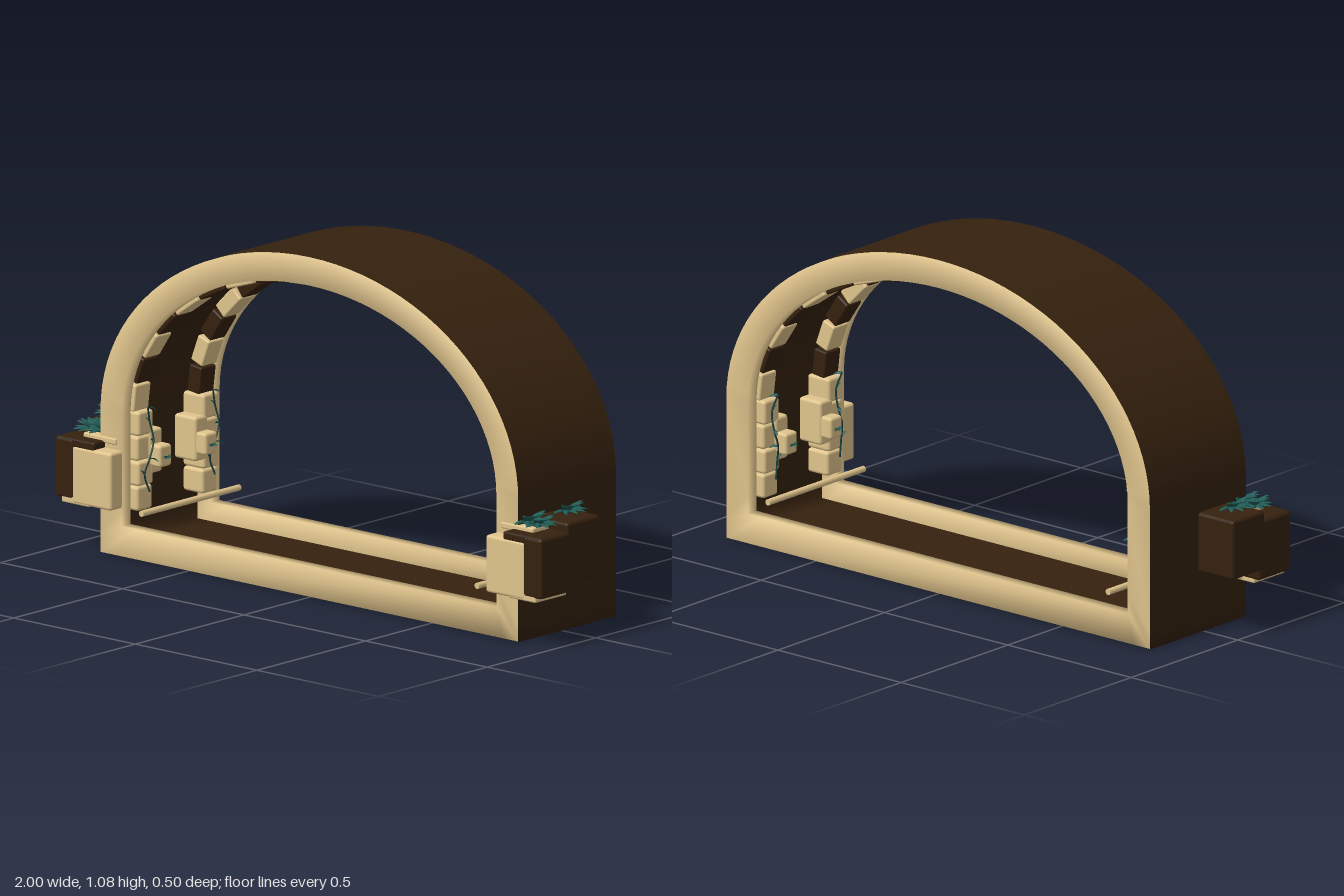
import * as THREE from 'three';
import { RoundedBoxGeometry } from 'three/addons/geometries/RoundedBoxGeometry.js';

const mat = (name, color) => {
  const m = new THREE.MeshStandardMaterial({ color });
  m.name = name;
  return m;
};

// Closed arch outline, inset by t: flat base, straight legs, elliptical top
function outline(t, n = 48) {
  const w = 0.86 - t, b = t * 1.08, pts = [[w, b], [w, b + 0.06]];
  for (let i = 0; i <= n; i++) {
    const a = (Math.PI * i) / n;
    pts.push([w * Math.cos(a), 0.45 + (0.625 - t) * Math.sin(a)]);
  }
  pts.push([-w, b + 0.06], [-w, b], [0.06 - w, b], [w - 0.06, b]);
  return pts;
}

// Smooth band joining outlines given as [inset, z]
function band(rings, closed = false) {
  const pos = [], idx = [], R = rings.length;
  rings.forEach(([t, z]) => outline(t).forEach(([x, y]) => pos.push(x, y, z)));
  const N = pos.length / 3 / R;
  for (let r = 0; r < (closed ? R : R - 1); r++) {
    for (let i = 0; i < N; i++) {
      const j = (i + 1) % N, q = (r + 1) % R;
      const a = r * N + i, b = r * N + j, c = q * N + j, d = q * N + i;
      idx.push(a, b, c, a, c, d);
    }
  }
  const g = new THREE.BufferGeometry();
  g.setAttribute('position', new THREE.Float32BufferAttribute(pos, 3));
  g.setIndex(idx);
  g.computeVertexNormals();
  return g;
}

export function createModel() {
  const root = new THREE.Group();
  root.name = 'archway';
  const wood = mat('dark wood', 0x35210e);
  const stone = mat('pale stone', 0xe0c48c);
  const leafMat = mat('teal leaf', 0x1f5c56);
  const stemMat = mat('dark stem', 0x173f3d);

  const add = (name, geo, m, parent = root) => {
    const mesh = new THREE.Mesh(geo, m);
    mesh.name = name;
    parent.add(mesh);
    return mesh;
  };
  // Rounded box from its extents, mirrored by s across x
  const block = (name, s, x0, x1, y0, y1, z0, z1, m, parent) => {
    const w = x1 - x0, h = y1 - y0, d = z1 - z0;
    const r = Math.min(0.01, 0.25 * Math.min(w, h, d));
    const b = add(name, new RoundedBoxGeometry(w, h, d, 2, r), m, parent);
    b.position.set((s * (x0 + x1)) / 2, (y0 + y1) / 2, (z0 + z1) / 2);
    return b;
  };

  // Shell and its two rims
  add('outerShell', band([[0, -0.25], [0, 0.2]]), wood);
  add('innerShell', band([[0.035, 0.19], [0.035, -0.24]]), wood);
  add('frontRim', band([[0.002, 0.16], [0.002, 0.2], [0.09, 0.2], [0.09, 0.16]], true), stone);
  add('backRim', band([[0.002, -0.25], [0.002, -0.21], [0.09, -0.21], [0.09, -0.25]], true), stone);

  // Alternating bricks along the underside of the arch
  const bricks = new THREE.Group();
  bricks.name = 'archBricks';
  root.add(bricks);
  const count = 18;
  [0.125, -0.175].forEach((z, row) => {
    for (let i = 0; i < count; i++) {
      const a = (Math.PI * (i + 0.5)) / count;
      const p = (k) => new THREE.Vector2(0.783 * Math.cos(k), 0.45 + 0.548 * Math.sin(k));
      const step = Math.PI / count / 2;
      const p0 = p(a - step), p1 = p(a + step);
      const brick = add('archBrick', new RoundedBoxGeometry(p0.distanceTo(p1) * 0.9, 0.05, 0.07, 2, 0.006),
        (i + row) % 2 ? stone : wood, bricks);
      brick.position.set((p0.x + p1.x) / 2, (p0.y + p1.y) / 2, z);
      brick.rotation.z = Math.atan2(p1.y - p0.y, p1.x - p0.x);
    }
  });

  // Pointed leaf growing from its base along +z, arched along its length
  const leafGeo = new THREE.SphereGeometry(1, 6, 4);
  leafGeo.rotateX(Math.PI / 2).scale(0.014, 0.004, 0.04).translate(0, 0, 0.036);
  const lp = leafGeo.attributes.position;
  for (let i = 0; i < lp.count; i++) {
    const t = lp.getZ(i) / 0.076;
    lp.setY(i, lp.getY(i) + 0.012 * Math.sin(Math.PI * t));
    lp.setX(i, lp.getX(i) * (1.2 - 0.6 * t));
  }
  leafGeo.computeVertexNormals();

  // Two-tier fan of leaves spreading towards dir along x
  const plant = (name, x, y, z, size, dir, parent) => {
    const g = new THREE.Group();
    g.name = name;
    g.position.set(x, y, z);
    g.scale.setScalar(size);
    for (let i = 0; i < 11; i++) {
      const upper = i >= 6;
      const spread = upper ? (i - 8) * 0.55 : (i - 2.5) * 0.6;
      const leaf = add('leaf', leafGeo, leafMat, g);
      leaf.rotation.order = 'YXZ';
      leaf.rotation.set(upper ? -0.6 : -0.2, (dir * Math.PI) / 2 + spread, 0);
    }
    parent.add(g);
  };

  for (const s of [1, -1]) {
    const side = new THREE.Group();
    side.name = s > 0 ? 'leftSide' : 'rightSide';
    root.add(side);

    // Outer planter
    block('planterBack', s, 0.85, 1, 0.195, 0.385, -0.022, 0.13, wood, side);
    block('planterFront', s, 0.925, 1, 0.165, 0.355, 0.1, 0.252, wood, side);
    block('planterLid', s, 0.84, 0.995, 0.33, 0.357, 0.1, 0.25, wood, side);
    block('planterStone', s, 0.85, 0.93, 0.153, 0.335, 0.1, 0.248, stone, side);
    block('stoneFace', s, 0.77, 0.93, 0.153, 0.335, 0.19, 0.252, stone, side);
    block('planterBase', s, 0.86, 0.975, 0.15, 0.175, 0.105, 0.25, stone, side);
    block('planterFoot', s, 0.86, 0.96, 0.185, 0.205, 0.06, 0.12, stone, side);
    block('soilStone', s, 0.79, 0.925, 0.35, 0.37, 0.13, 0.205, stone, side);
    plant('planterPlant', s * 0.87, 0.365, 0.165, 0.95, s, side);
    plant('planterPlant', s * 0.915, 0.365, 0.17, 0.85, s, side);
    plant('planterPlant', s * 0.93, 0.39, 0.055, 0.88, s, side);

    // Stacked stones, pot and vine at each inner corner
    for (const [zc, dir] of [[0.125, -1], [-0.175, 1]]) {
      for (let i = 0; i < 4; i++) {
        const y = 0.14 + i * 0.079, inset = i % 2 ? 0.736 : 0.741;
        block('pillarStone', s, inset, 0.825, y, y + 0.077, zc - 0.035, zc + 0.035, stone, side);
      }
      const zp = zc + dir * 0.045;
      block('potBracket', s, 0.735, 0.825, 0.25, 0.39, zp - 0.03, zp + 0.03, stone, side);
      block('wallPot', s, 0.695, 0.74, 0.275, 0.345, zp - 0.028, zp + 0.028, stone, side);
      plant('potPlant', s * 0.698, 0.3, zp, 0.3, -s, side);
      const vine = [0, 1, 2, 3, 4, 5].map((i) => new THREE.Vector3(
        s * (0.722 + 0.008 * Math.sin(i * 1.9)), 0.2 + i * 0.054, zc + 0.015 * Math.sin(i * 1.4)));
      add('vine', new THREE.TubeGeometry(new THREE.CatmullRomCurve3(vine), 24, 0.003, 5), stemMat, side);
      vine.slice(1).forEach((p, i) => {
        const leaf = add('vineLeaf', leafGeo, leafMat, side);
        leaf.position.copy(p);
        leaf.scale.setScalar(0.4);
        leaf.rotation.set(-0.7, i * 2.1, 0);
      });
    }

    // Low rail along the floor
    const rail = add('floorRail', new THREE.CylinderGeometry(0.01, 0.01, 0.45, 10), stone, side);
    rail.rotation.x = Math.PI / 2;
    rail.position.set(s * 0.69, 0.15, -0.025);
  }
  return root;
}
